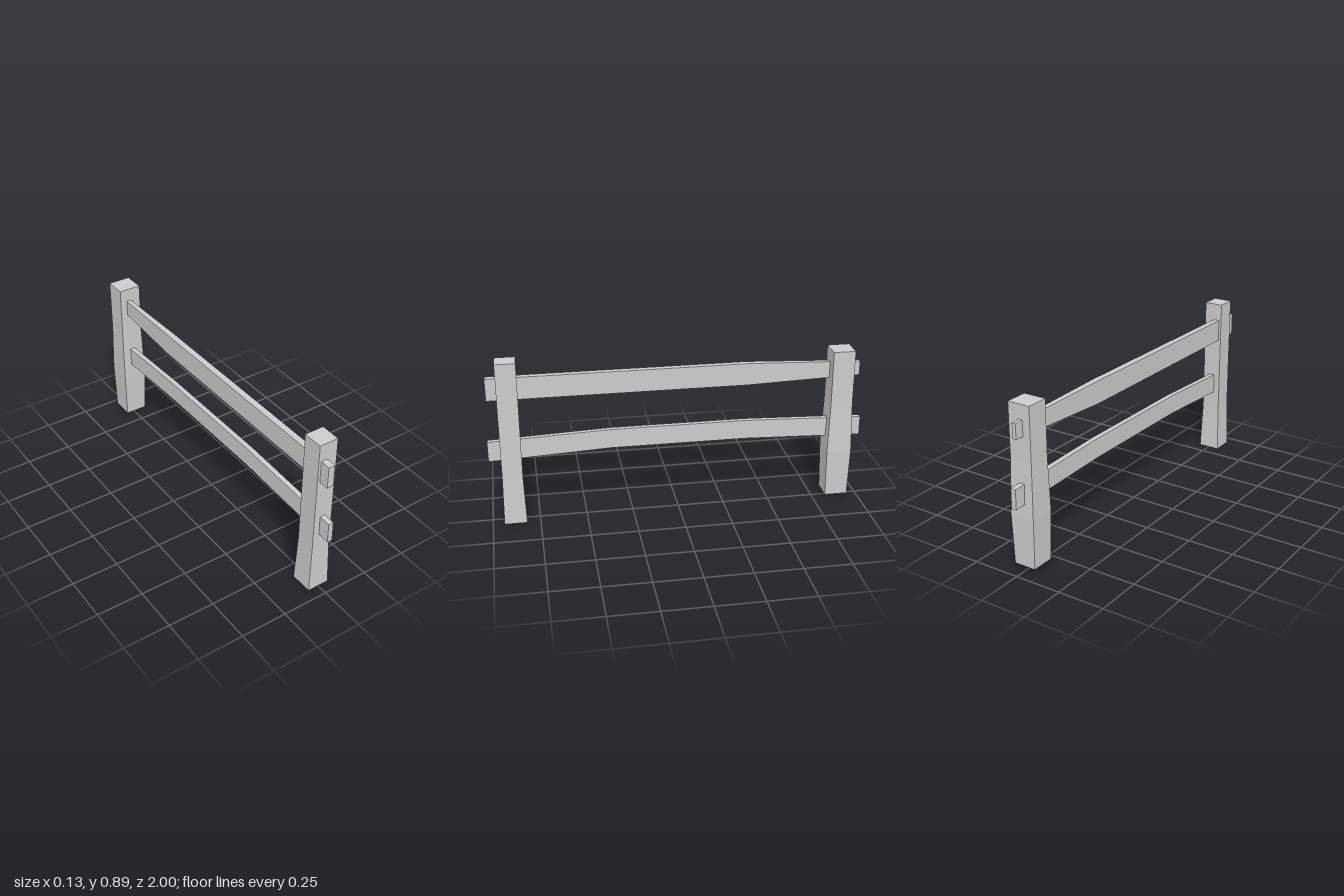
import * as THREE from 'three';

const material = new THREE.MeshStandardMaterial({ color: 0xcccccc, flatShading: true });

// Closed square-edged beam lofted through rectangular sections.
// Each section holds four corners, counter-clockwise seen from the far end.
function loft(name, sections) {
  const points = [];
  const quad = (a, b, c, d) => points.push(...a, ...b, ...c, ...a, ...c, ...d);
  for (let i = 0; i < sections.length - 1; i++) {
    const s = sections[i], t = sections[i + 1];
    for (let k = 0; k < 4; k++) {
      const n = (k + 1) % 4;
      quad(s[k], s[n], t[n], t[k]);
    }
  }
  quad(...[...sections[0]].reverse());
  quad(...sections[sections.length - 1]);
  const geometry = new THREE.BufferGeometry();
  geometry.setAttribute('position', new THREE.Float32BufferAttribute(points, 3));
  geometry.computeVertexNormals();
  const mesh = new THREE.Mesh(geometry, material);
  mesh.name = name;
  return mesh;
}

// Upright post: rows of [y, x0, x1, z0, z1] from bottom to top
const post = (name, rows) => loft(name, rows.map(([y, x0, x1, z0, z1]) =>
  [[x0, y, z1], [x1, y, z1], [x1, y, z0], [x0, y, z0]]));

// Rail along z: rows of [z, x0, x1, y0, y1] from back to front
const rail = (name, rows) => loft(name, rows.map(([z, x0, x1, y0, y1]) =>
  [[x0, y0, z], [x1, y0, z], [x1, y1, z], [x0, y1, z]]));

export function createModel() {
  const fence = new THREE.Group();
  fence.name = 'fence';

  // Front post flares at the foot, back post bulges below the middle
  fence.add(post('frontPost', [
    [0, -0.06, 0.06, 0.821, 0.941],
    [0.26, -0.052, 0.051, 0.829, 0.936],
    [0.895, -0.052, 0.051, 0.829, 0.936],
  ]));
  fence.add(post('backPost', [
    [0.025, -0.06, 0.059, -0.936, -0.813],
    [0.29, -0.067, 0.067, -0.941, -0.807],
    [0.57, -0.062, 0.06, -0.933, -0.815],
    [0.858, -0.062, 0.06, -0.933, -0.815],
  ]));

  // Upper rail tapers towards the back, lower rail arches slightly
  fence.add(rail('upperRail', [
    [-0.98, -0.019, 0.002, 0.703, 0.781],
    [-0.37, -0.038, -0.003, 0.681, 0.801],
    [0.99, -0.038, -0.003, 0.681, 0.801],
  ]));
  fence.add(rail('lowerRail', [
    [-1, -0.018, 0.01, 0.357, 0.461],
    [-0.36, -0.018, 0.01, 0.379, 0.484],
    [0.36, -0.018, 0.01, 0.379, 0.484],
    [1, -0.018, 0.01, 0.348, 0.458],
  ]));

  return fence;
}
